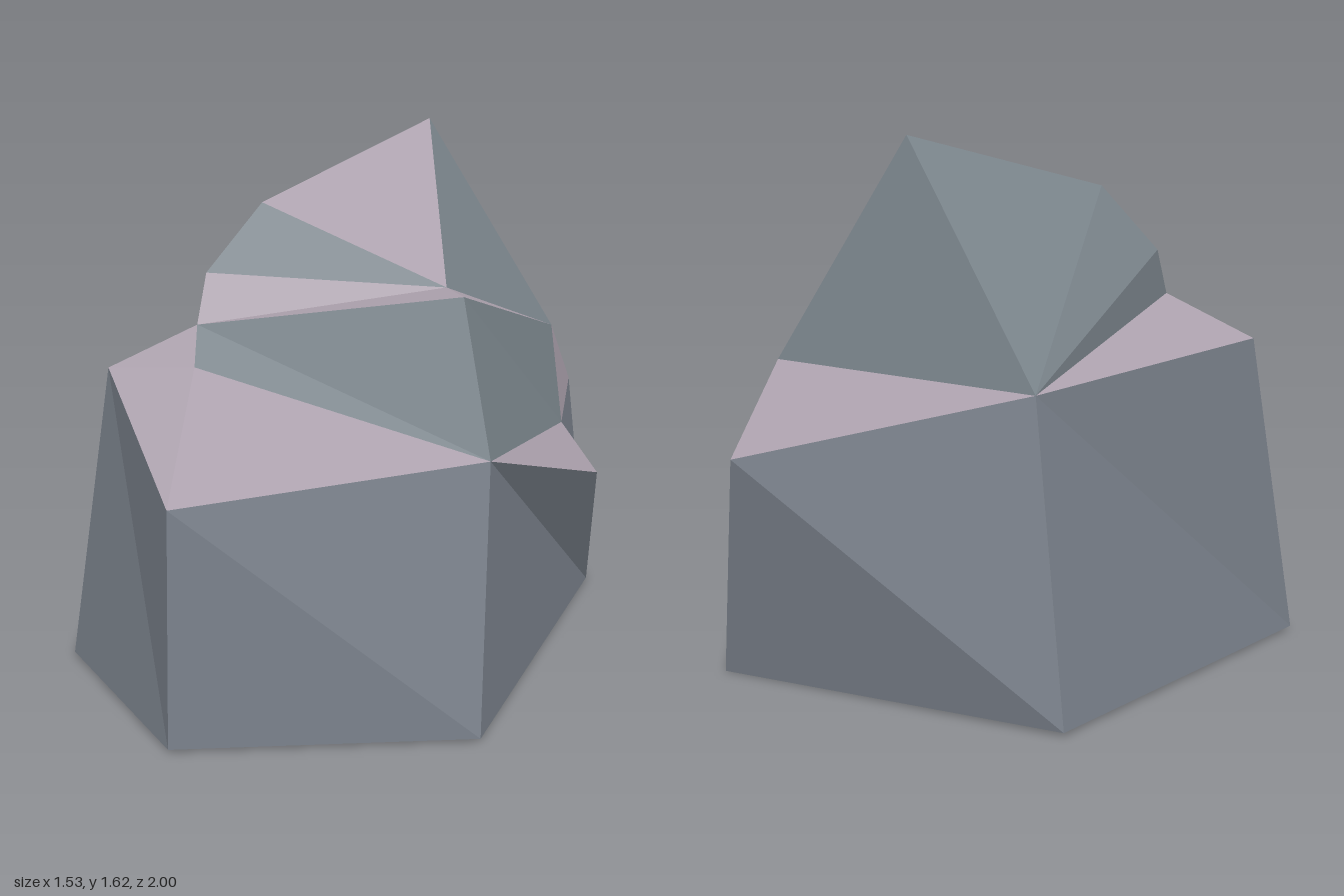
import * as THREE from 'three';

// Corner points of the rock, grouped by level
const P = {
  // base outline
  b1: [0.03, 0.01, 1.0], b2: [0.76, 0.01, 0.45], b3: [0.43, 0, -0.9],
  b4: [-0.77, 0.01, -0.79], b5: [-0.65, 0.01, 0.58],
  // shoulder
  r1: [0.03, 0.74, 0.98], r2: [0.705, 0.82, 0.32], r3: [0.66, 0.55, -0.48],
  r4: [0.29, 0.68, -1.0], r5: [-0.57, 0.91, -0.66], r6: [-0.55, 0.95, 0.49],
  // middle step
  m0: [-0.265, 0.98, 0.43], m1: [-0.31, 1.09, 0.35], m2: [0.51, 1.245, 0.145],
  m3: [0.46, 0.65, -0.615], m4: [0.355, 0.94, -0.73],
  // peak
  u1: [-0.33, 1.235, 0.27], v1: [-0.225, 1.44, 0.115],
  q: [0.36, 1.22, -0.015], top: [-0.04, 1.615, -0.59],
};

// Interior point; every facet faces away from it
const CORE = new THREE.Vector3(0, 0.5, 0);

// Flat facets from triangles named by their corners
function facets(name, material, list) {
  const pos = [];
  for (const face of list) {
    const [a, b, c] = face.split(' ').map((k) => new THREE.Vector3(...P[k]));
    const tri = new THREE.Triangle(a, b, c);
    const out = tri.getMidpoint(new THREE.Vector3()).sub(CORE);
    const flip = tri.getNormal(new THREE.Vector3()).dot(out) < 0;
    for (const v of flip ? [a, c, b] : [a, b, c]) pos.push(v.x, v.y, v.z);
  }
  const geo = new THREE.BufferGeometry();
  geo.setAttribute('position', new THREE.Float32BufferAttribute(pos, 3));
  geo.computeVertexNormals();
  const mesh = new THREE.Mesh(geo, material);
  mesh.name = name;
  return mesh;
}

function mat(name, color) {
  const m = new THREE.MeshStandardMaterial({ color, flatShading: true });
  m.name = name;
  return m;
}

export function createModel() {
  const slate = mat('slate', 0x7a818b);
  const paleSlate = mat('paleSlate', 0x7c868d);
  const mauve = mat('mauveStone', 0xaca1ad);

  const rock = new THREE.Group();
  rock.name = 'rock';
  rock.add(
    facets('underside', slate, ['b1 b2 b3', 'b1 b3 b4', 'b1 b4 b5']),
    // steep walls of the lower block
    facets('lowerWalls', slate, [
      'r6 b5 b1', 'r6 b1 r1', 'r1 b1 b2', 'r1 b2 r2', 'r2 b2 b3', 'r2 b3 r3',
      'r3 b3 m3', 'm3 b3 r4', 'r4 b3 b4', 'r4 b4 r5', 'r5 b4 b5', 'r5 b5 r6',
    ]),
    // sloping ledges on the shoulder
    facets('lowerLedges', mauve, [
      'r6 r1 m0', 'm0 r1 r2', 'r6 m0 m1', 'r5 r6 m1',
      'r2 r3 m3', 'm3 r4 m4', 'm4 r4 r5',
    ]),
    // walls of the middle step
    facets('middleWalls', paleSlate, ['m1 m0 r2', 'm1 r2 m2', 'm2 r2 m3', 'm2 m3 m4', 'r5 m1 u1']),
    facets('middleLedges', mauve, ['m1 m2 q', 'q m2 m4', 'u1 m1 q']),
    // peak
    facets('peakWalls', paleSlate, ['v1 u1 q', 'r5 u1 v1', 'r5 v1 top', 'r5 top m4', 'top q m4']),
    facets('peakSlope', mauve, ['v1 q top']),
  );
  return rock;
}
